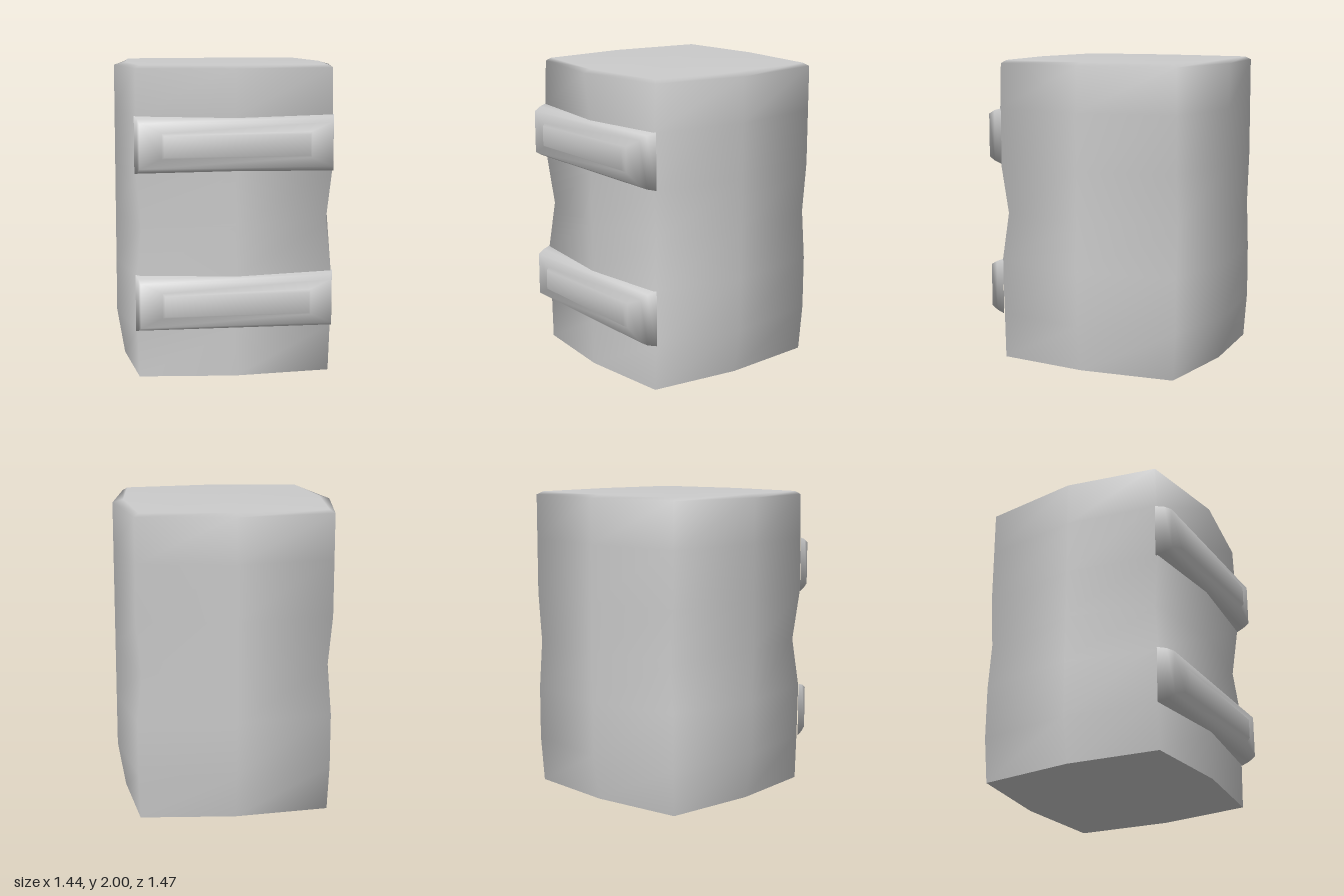
import * as THREE from 'three';

const material = new THREE.MeshStandardMaterial({ color: 0xcccccc });

// Smooth skin over rings of equal length (counter-clockwise seen from the end), with optional end cap point
function loft(name, rings, cap) {
  const n = rings[0].length;
  const position = rings.flat(2);
  const index = [];
  for (let i = 0; i < rings.length - 1; i++) {
    for (let j = 0; j < n; j++) {
      const k = (j + 1) % n;
      const a = i * n + j, b = i * n + k, c = b + n, d = a + n;
      index.push(a, b, c, a, c, d);
    }
  }
  if (cap) {
    const base = (rings.length - 1) * n;
    position.push(...cap);
    for (let j = 0; j < n; j++) index.push(base + j, base + (j + 1) % n, rings.length * n);
  }
  const geometry = new THREE.BufferGeometry();
  geometry.setAttribute('position', new THREE.Float32BufferAttribute(position, 3));
  geometry.setIndex(index);
  geometry.computeVertexNormals();
  const mesh = new THREE.Mesh(geometry, material);
  mesh.name = name;
  return mesh;
}

// Eight-sided section: bulging middles of the four sides and four corners
function section(y, side, front, back, cornerX, cornerFront, cornerBack) {
  return [
    [0, y, front], [cornerX, y, cornerFront], [side, y, 0], [cornerX, y, -cornerBack],
    [0, y, -back], [-cornerX, y, -cornerBack], [-side, y, 0], [-cornerX, y, cornerFront],
  ];
}

const rectangle = (z, x, y) => [[x, y, z], [-x, y, z], [-x, -y, z], [x, -y, z]];

export function createModel() {
  const group = new THREE.Group();
  group.name = 'pouch';

  // Body, tapered at the foot and bevelled at the top
  const foot = section(0.03, 0.67, 0.66, 0.68, 0.61, 0.6, 0.62);
  group.add(loft('body', [
    foot,
    section(0.33, 0.72, 0.66, 0.73, 0.62, 0.6, 0.64),
    section(0.68, 0.72, 0.66, 0.73, 0.62, 0.61, 0.64),
    section(1.0, 0.72, 0.66, 0.73, 0.59, 0.575, 0.64),
    section(1.33, 0.72, 0.66, 0.73, 0.62, 0.61, 0.64),
    section(1.69, 0.72, 0.66, 0.73, 0.62, 0.61, 0.64),
    section(1.98, 0.72, 0.7, 0.73, 0.62, 0.6, 0.64),
    section(2.0, 0.65, 0.65, 0.66, 0.59, 0.575, 0.61),
  ], [0, 2.0, 0]));

  // Shallow pointed underside
  group.add(loft('underside', [[...foot].reverse()], [0, 0, 0]));

  // Two straps across the front, each with a raised bar
  for (const [name, y] of [['lowerStrap', 0.51], ['upperStrap', 1.51]]) {
    const strap = loft(name, [
      rectangle(0.6, 0.63, 0.18),
      rectangle(0.66, 0.615, 0.165),
      rectangle(0.705, 0.605, 0.14),
      rectangle(0.71, 0.47, 0.08),
      rectangle(0.735, 0.455, 0.065),
    ], [0, 0, 0.735]);
    strap.position.y = y;
    group.add(strap);
  }
  return group;
}
